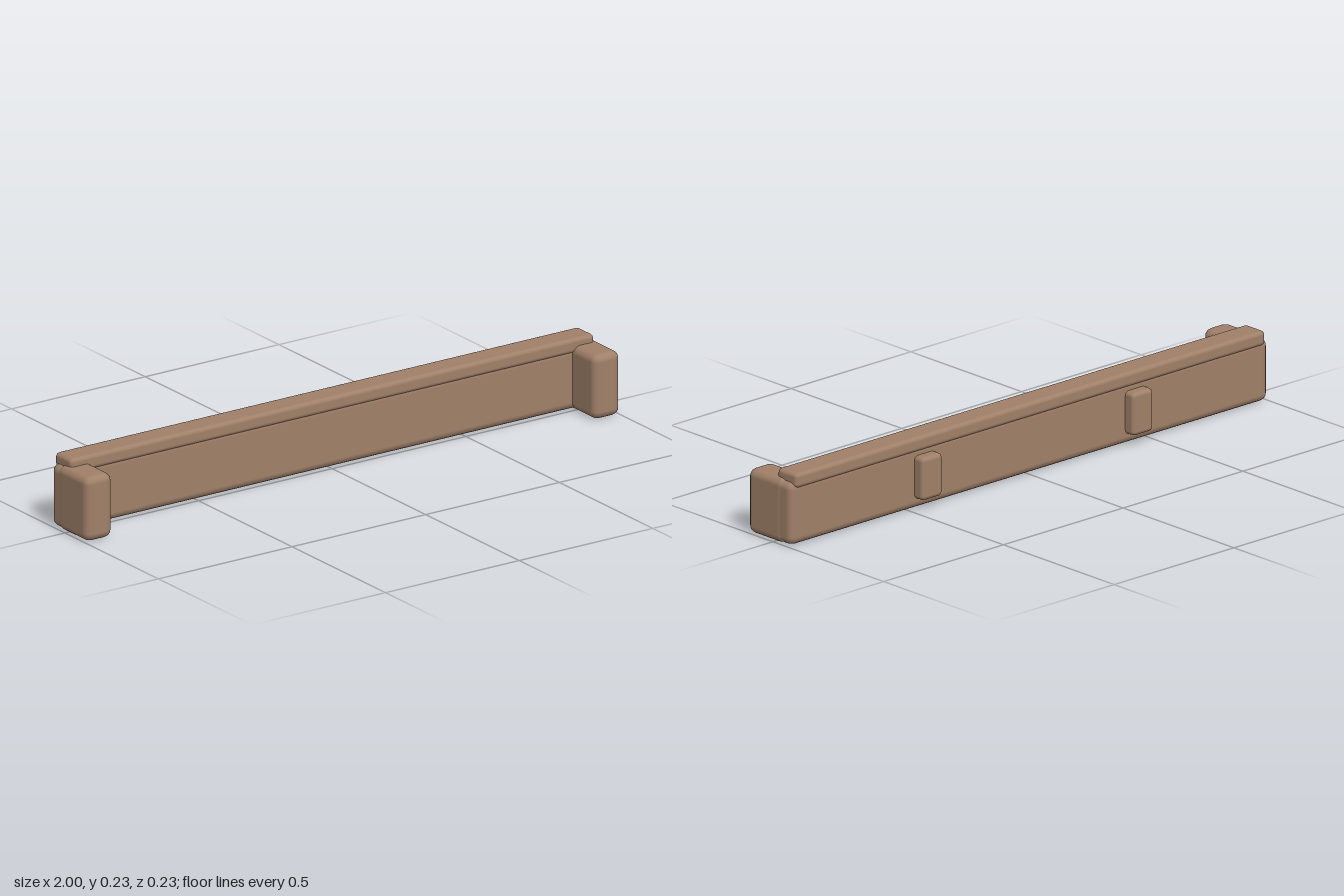
import * as THREE from 'three';
import { RoundedBoxGeometry } from 'three/addons/geometries/RoundedBoxGeometry.js';

export function createModel() {
  const group = new THREE.Group();
  const wood = new THREE.MeshStandardMaterial({ color: 0xa08069 });
  wood.name = 'brown wood';

  // rounded block given by its limits on each axis
  function block(name, [x0, x1], [y0, y1], [z0, z1], radius) {
    const geometry = new RoundedBoxGeometry(x1 - x0, y1 - y0, z1 - z0, 2, radius);
    const mesh = new THREE.Mesh(geometry, wood);
    mesh.name = name;
    mesh.position.set((x0 + x1) / 2, (y0 + y1) / 2, (z0 + z1) / 2);
    group.add(mesh);
  }

  // long board and the rail capping it
  block('panel', [-0.998, 0.998], [0.002, 0.206], [-0.08, 0], 0.025);
  block('topRail', [-0.98, 0.98], [0.187, 0.235], [-0.085, 0.004], 0.014);

  // end posts in front, battens behind
  for (const [side, s] of [['left', 1], ['right', -1]]) {
    const span = (a, b) => (s > 0 ? [a, b] : [-b, -a]);
    block(side + 'EndPost', span(0.9, 1), [0, 0.21], [-0.045, 0.118], 0.025);
    block(side + 'Batten', span(0.397, 0.483), [0.036, 0.175], [-0.117, -0.06], 0.014);
  }
  return group;
}
